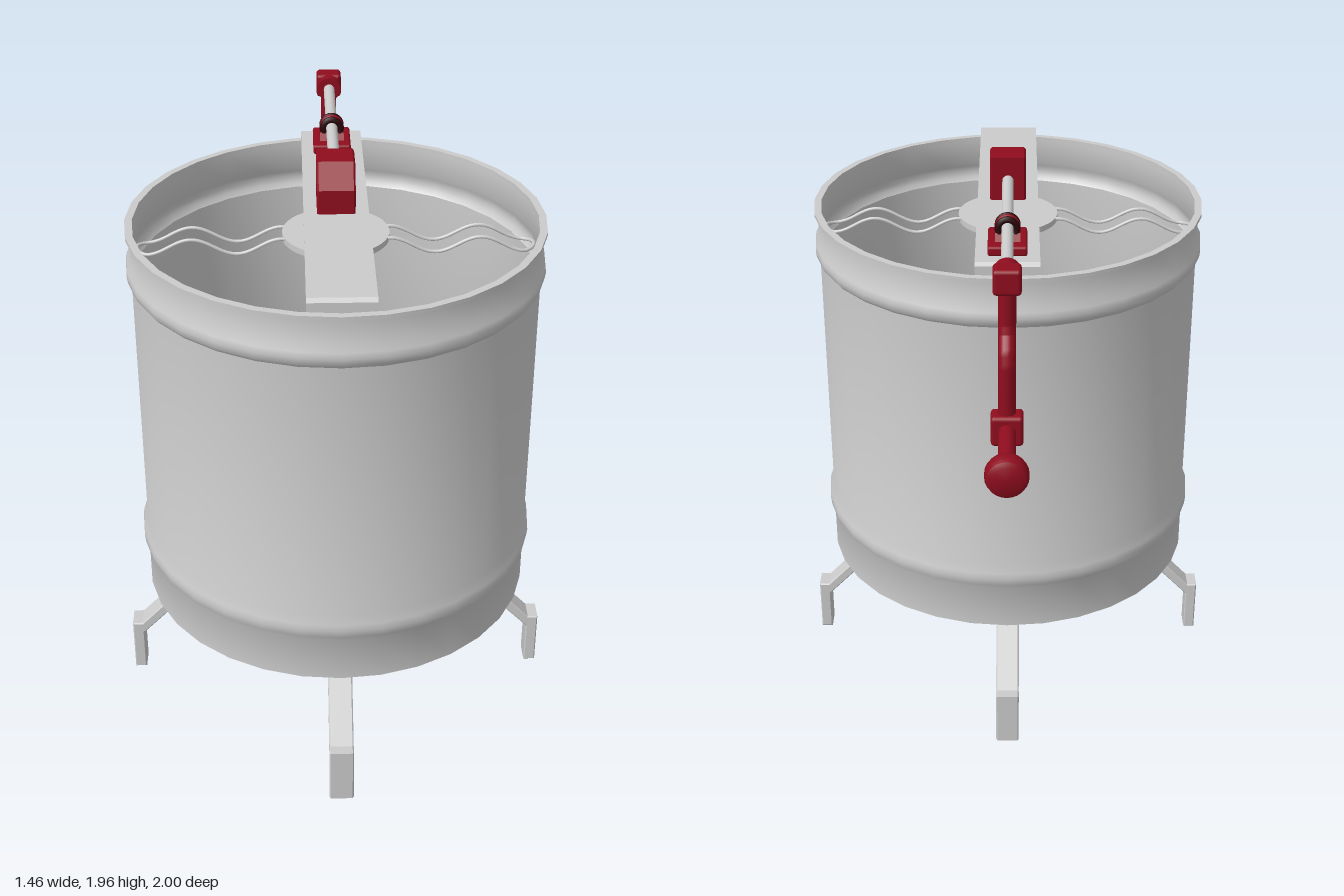
import * as THREE from 'three';
import { toCreasedNormals } from 'three/addons/utils/BufferGeometryUtils.js';
import { RoundedBoxGeometry } from 'three/addons/geometries/RoundedBoxGeometry.js';

const AXIS_Z = 0.27; // drum axis
const steel = new THREE.MeshStandardMaterial({ color: 0xcccccc, side: THREE.DoubleSide });
const red = new THREE.MeshStandardMaterial({ color: 0x8f0d1e });
const dark = new THREE.MeshStandardMaterial({ color: 0x2a0508 });

export function createModel() {
  const model = new THREE.Group();

  const add = (name, geometry, material, x = 0, y = 0, z = 0, parent = model) => {
    const mesh = new THREE.Mesh(geometry, material);
    mesh.name = name;
    mesh.position.set(x, y, z);
    parent.add(mesh);
    return mesh;
  };
  const vectors = (points) => points.map((p) => new THREE.Vector2(...p));
  const lathe = (points, segments) =>
    toCreasedNormals(new THREE.LatheGeometry(vectors(points), segments), 0.6);
  const box = (w, h, d, r = 0.008) => new RoundedBoxGeometry(w, h, d, 2, r);
  // Cylinder lying along z between two depths
  const rod = (name, r, z0, z1, y, material) =>
    add(name, new THREE.CylinderGeometry(r, r, z1 - z0, 20).rotateX(Math.PI / 2),
      material, 0, y, (z0 + z1) / 2);
  // Outline extruded symmetrically across its width
  const slab = (points, width, bevel = 0) => new THREE.ExtrudeGeometry(
    new THREE.Shape(vectors(points)),
    { depth: width - 2 * bevel, bevelEnabled: bevel > 0, bevelThickness: bevel,
      bevelSize: bevel, bevelOffset: -bevel, bevelSegments: 1 }
  ).translate(0, 0, bevel - width / 2);

  // Drum: sheet wall with two rolled ribs and a rim, floor closed
  const wall = [
    [0.652, 0.45], [0.652, 0.605], [0.664, 0.625], [0.667, 0.65], [0.664, 0.672], [0.652, 0.70],
    [0.652, 1.60], [0.664, 1.615], [0.667, 1.635], [0.664, 1.655], [0.652, 1.675], [0.652, 1.755],
  ];
  const inner = wall.map(([r, y]) => [r - 0.012, Math.max(y, 0.462)]).reverse();
  add('drum', lathe([[0, 0.45], ...wall, [0.664, 1.76], [0.664, 1.772], [0.64, 1.772],
    ...inner, [0, 0.462]], 32), steel, 0, 0, AXIS_Z);

  // Legs: bent flat bars in four directions
  const legOutline = [
    [0.13, 0.437], [0.465, 0.437], [0.695, 0.197], [0.73, 0.197], [0.73, 0],
    [0.69, 0], [0.69, 0.155], [0.455, 0.397], [0.20, 0.397], [0.13, 0.42],
  ];
  for (let i = 0; i < 4; i++) {
    const leg = add('leg', slab(legOutline, 0.08, 0.004), steel, 0, 0, AXIS_Z);
    leg.rotation.y = (i * Math.PI) / 2;
  }

  // Rotor: upright shaft with a hub plate
  add('rotorShaft', new THREE.CylinderGeometry(0.062, 0.062, 1.25, 24), steel, 0, 1.085, AXIS_Z);
  add('rotorHub', new THREE.CylinderGeometry(0.17, 0.17, 0.02, 40), steel, 0, 1.715, AXIS_Z);
  add('driveSpindle', new THREE.CylinderGeometry(0.035, 0.035, 0.09, 20), steel, 0, 1.765, AXIS_Z);

  // Wavy wire loop reaching out on both sides of the hub
  const wave = (x) => 1.695 + 0.025 * Math.cos((Math.abs(x) - 0.17) * 22);
  const loop = [];
  const half = 0.585, radius = 0.045;
  for (const side of [1, -1]) {
    for (let i = 0; i < 40; i++) {
      const x = side * (-half + (2 * half * i) / 40);
      loop.push(new THREE.Vector3(x, wave(x), -side * radius));
    }
    for (let i = 0; i < 8; i++) {
      const a = (i * Math.PI) / 8;
      const x = side * (half + radius * Math.sin(a));
      loop.push(new THREE.Vector3(x, wave(x), -side * radius * Math.cos(a)));
    }
  }
  add('wireLoop', new THREE.TubeGeometry(new THREE.CatmullRomCurve3(loop, true), 200, 0.006, 8, true),
    steel, 0, 0, AXIS_Z);

  // Cross bar: thin plate with both ends folded down
  const plate = [
    [-0.63, 1.735], [-0.63, 1.80], [-0.62, 1.812], [0.62, 1.812], [0.63, 1.80], [0.63, 1.735],
    [0.62, 1.735], [0.62, 1.80], [-0.62, 1.80], [-0.62, 1.735],
  ];
  add('crossBar', slab(plate, 0.204).rotateY(Math.PI / 2), steel, 0, 0, AXIS_Z);

  // Gearbox with a sloped front top (outline x becomes -z)
  const gearOutline = [
    [-0.335, 1.795], [-0.165, 1.795], [-0.165, 1.96], [-0.27, 1.96], [-0.335, 1.89],
  ];
  add('gearbox', slab(gearOutline, 0.12, 0.006).rotateY(Math.PI / 2), red);

  // Drive shaft and its bearing block
  rod('driveShaft', 0.019, -0.58, 0.18, 1.88, steel);
  add('bearingBase', box(0.125, 0.032, 0.17), red, 0, 1.827, -0.225);
  const pedestal = [[0.18, 1.838], [0.27, 1.838], [0.25, 1.866], [0.20, 1.866]];
  add('bearingPedestal', slab(pedestal, 0.08).rotateY(Math.PI / 2), red);
  for (const [name, z, material] of [
    ['bearingRing', -0.208, dark], ['bearingRing', -0.225, red], ['bearingRing', -0.242, dark]]) {
    add(name, new THREE.TorusGeometry(0.03, 0.011, 10, 24), material, 0, 1.878, z);
  }

  // Crank: socket, cranked arm and lower boss
  rod('crankSocket', 0.041, -0.635, -0.565, 1.88, red);
  add('crankHead', box(0.086, 0.082, 0.07, 0.012), red, 0, 1.88, -0.632);
  const armPath = new THREE.CurvePath();
  const armPoints = [[1.86, -0.62], [1.73, -0.62], [1.70, -0.628], [1.655, -0.665],
    [1.62, -0.675], [1.42, -0.675]].map(([y, z]) => new THREE.Vector3(0, y, z));
  for (let i = 1; i < armPoints.length; i++) {
    armPath.add(new THREE.LineCurve3(armPoints[i - 1], armPoints[i]));
  }
  add('crankArm', new THREE.TubeGeometry(armPath, 40, 0.027, 16), red);
  add('crankBoss', box(0.1, 0.1, 0.07, 0.012), red, 0, 1.41, -0.68);

  // Handle with a round knob
  rod('handle', 0.027, -0.94, -0.70, 1.41, red);
  const knob = [[0, -0.037], [0.045, -0.037], [0.06, -0.028], [0.066, -0.012],
    [0.066, 0.012], [0.06, 0.028], [0.045, 0.037], [0, 0.037]];
  add('knob', lathe(knob, 24).rotateX(Math.PI / 2), red, 0, 1.41, -0.963);

  return model;
}
